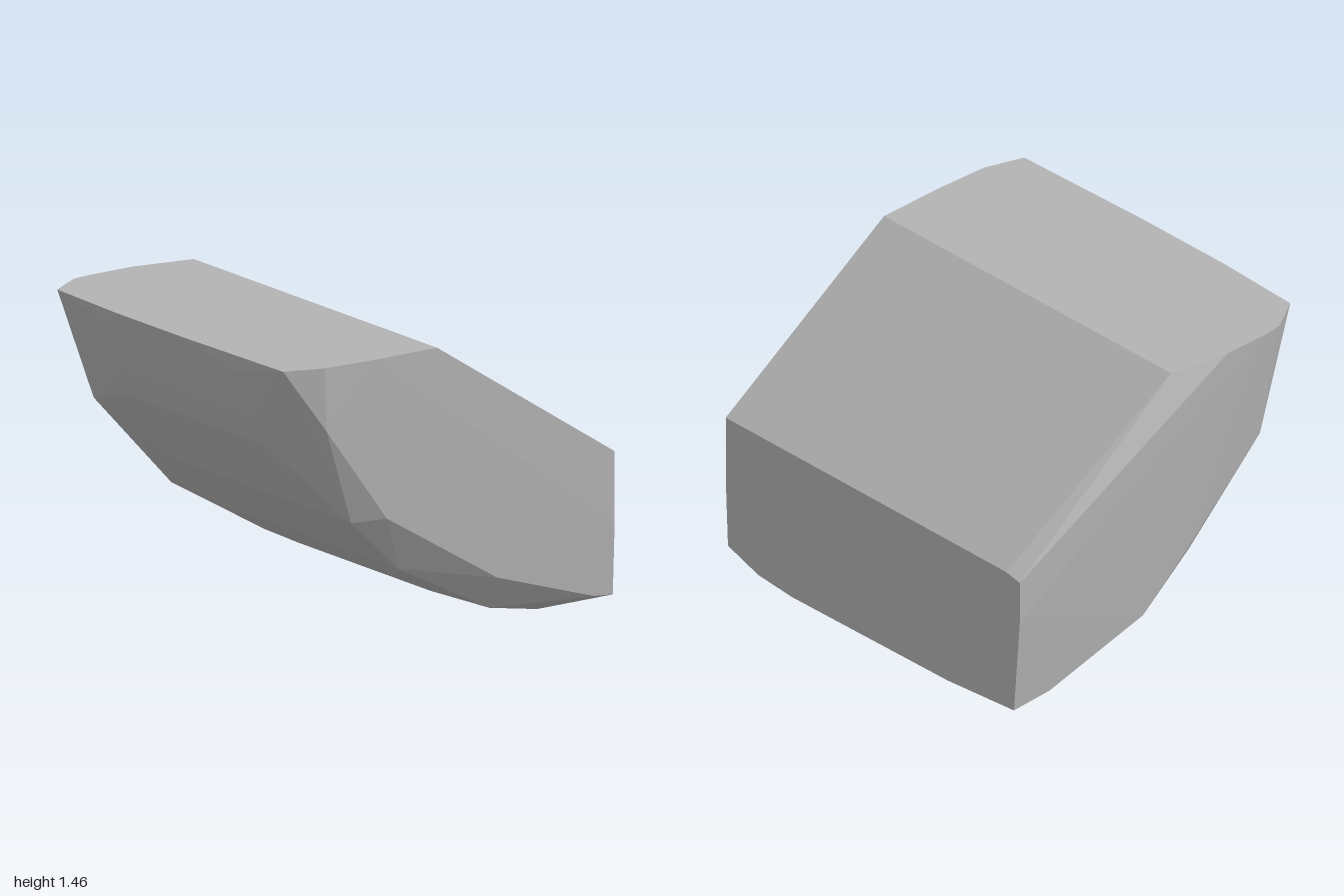
import * as THREE from 'three';
import { ConvexGeometry } from 'three/addons/geometries/ConvexGeometry.js';

export function createModel() {
  const group = new THREE.Group();
  const stone = new THREE.MeshStandardMaterial({ color: 0xb3b3b3 });
  const points = [];
  // one slice: a depth z and its x, y corners
  const slice = (z, corners) => corners.forEach(([x, y]) => points.push(new THREE.Vector3(x, y, z)));

  // full curved underside, straight through the middle
  const belly = [[-0.92, 1.38], [-0.83, 1.13], [-0.77, 1.0], [-0.53, 0.66],
    [-0.23, 0.38], [0, 0.23], [0.2, 0.13], [0.65, 0.01]];
  slice(0.55, [...belly, [0.94, 0]]);
  slice(-0.5, [...belly, [0.94, 0.01]]);
  slice(0.15, [[-0.945, 1.46]]);
  slice(-0.4, [[-0.945, 1.46]]);

  // front face and its bevels
  slice(1, [[-0.45, 1.46], [-0.09, 1.46], [0.94, 0.79], [0.94, 0.45], [0.7, 0.75]]);
  slice(0.985, [[-0.73, 1.46], [-0.72, 1.15], [-0.37, 0.67], [0.27, 0.28], [0.83, 0.1], [0.94, 0.09]]);
  slice(0.92, [[-0.925, 1.46], [-0.53, 0.66]]);
  slice(0.88, [[-0.23, 0.38], [0.3, 0.105]]);
  slice(0.78, [[0.65, 0.02], [0.94, 0.02]]);

  // back face, its bevels and the sloped top chamfer
  slice(-1, [[-0.65, 1.46], [-0.4, 1.46]]);
  slice(-0.99, [[-0.75, 1.46], [0.94, 0.765], [0.94, 0.55]]);
  slice(-0.96, [[-0.69, 1.15], [-0.2, 0.48]]);
  slice(-0.95, [[0.94, 0.045], [0.71, 0.055], [0.1, 0.21]]);
  slice(-0.94, [[-0.09, 1.46], [-0.67, 0.88]]);
  slice(-0.9, [[-0.25, 0.41], [0.94, 0.785]]);
  slice(-0.88, [[-0.925, 1.46]]);

  const block = new THREE.Mesh(new ConvexGeometry(points), stone);
  block.name = 'stoneBlock';
  group.add(block);
  return group;
}
